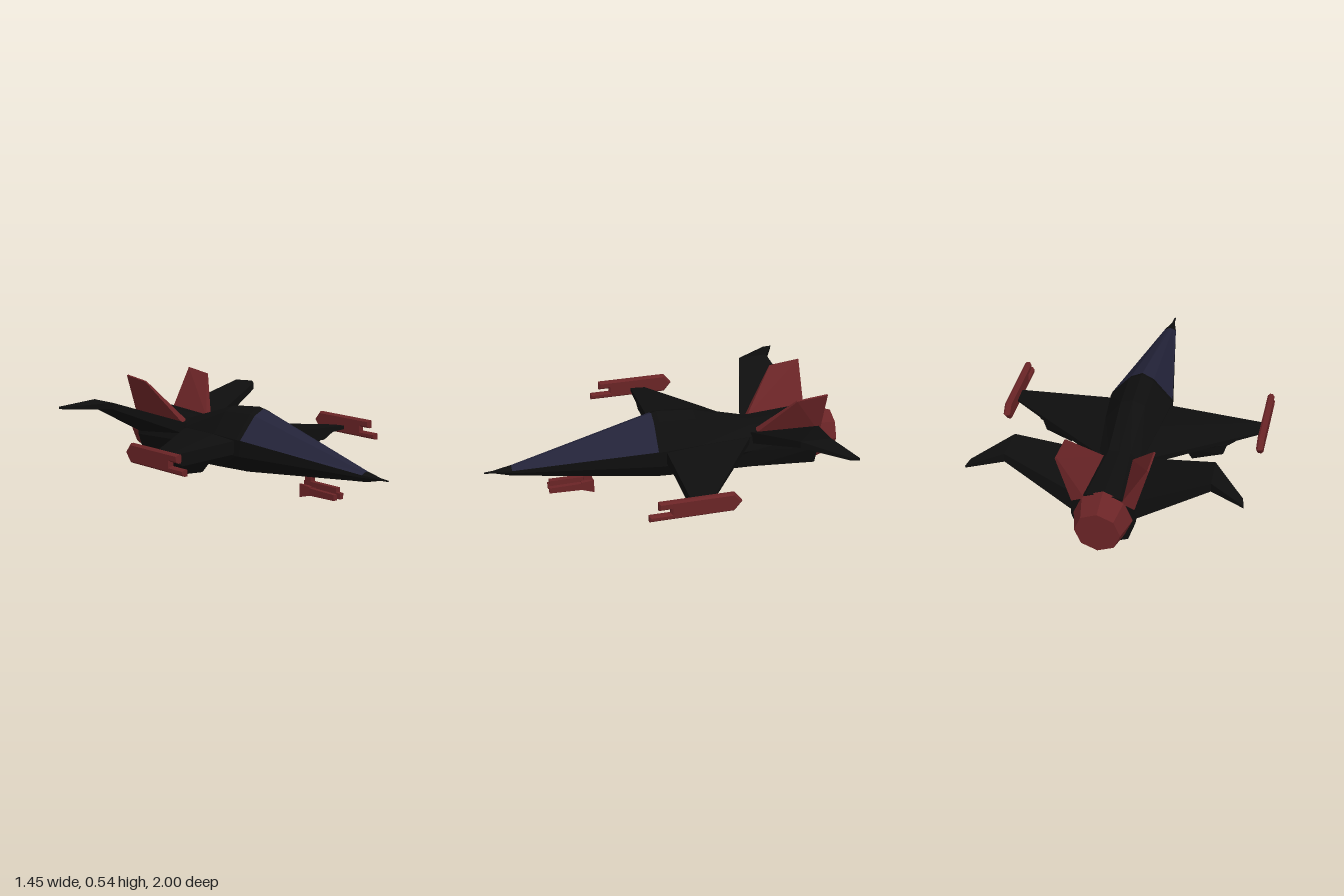
import * as THREE from 'three';
import { ConvexGeometry } from 'three/addons/geometries/ConvexGeometry.js';

const mat = (name, color) => {
  const m = new THREE.MeshStandardMaterial({ color, flatShading: true });
  m.name = name;
  return m;
};

export function createModel() {
  const black = mat('hull black', 0x0e0e0e);
  const red = mat('dark red', 0x6a2426);
  const navy = mat('canopy navy', 0x232339);
  const model = new THREE.Group();

  const add = (name, geometry, material) => {
    const mesh = new THREE.Mesh(geometry, material);
    mesh.name = name;
    model.add(mesh);
    return mesh;
  };
  // Convex solid through corner points; s = -1 mirrors it to the other side
  const solid = (name, pts, material, s = 1) =>
    add(name, new ConvexGeometry(pts.map(([x, y, z]) => new THREE.Vector3(x * s, y, z))), material);

  // Hull: half sections [z, top, shoulder, side, belt, chine, keel]
  const sections = [
    [1.0, [0, 0.197], [0.003, 0.196], [0.005, 0.193], [0.005, 0.192], [0.003, 0.19], [0, 0.189]],
    [0.95, [0, 0.2], [0.004, 0.199], [0.007, 0.195], [0.007, 0.192], [0.005, 0.188], [0, 0.187]],
    [0.85, [0, 0.217], [0.015, 0.214], [0.034, 0.203], [0.034, 0.19], [0.022, 0.168], [0, 0.162]],
    [0.06, [0, 0.437], [0.065, 0.405], [0.172, 0.28], [0.175, 0.19], [0.12, 0.1], [0, 0.082]],
    [0.03, [0, 0.445], [0.07, 0.412], [0.175, 0.28], [0.178, 0.19], [0.122, 0.1], [0, 0.08]],
    [-0.18, [0, 0.425], [0.068, 0.4], [0.155, 0.28], [0.165, 0.19], [0.122, 0.09], [0, 0.07]],
    [-0.5, [0, 0.325], [0.06, 0.318], [0.115, 0.27], [0.135, 0.19], [0.12, 0.08], [0, 0.055]],
    [-0.87, [0, 0.335], [0.09, 0.325], [0.165, 0.27], [0.17, 0.18], [0.13, 0.06], [0, 0.01]],
  ];
  const rings = sections.map(([z, ...half]) => [
    ...half,
    ...half.slice(1, -1).reverse().map(([x, y]) => [-x, y]),
  ].map(([x, y]) => new THREE.Vector3(x, y, z)));
  const n = rings[0].length;
  const hullTris = [], canopyTris = [];
  for (let i = 0; i < rings.length - 1; i++) {
    for (let j = 0; j < n; j++) {
      const k = (j + 1) % n;
      const [a, b, c, d] = [rings[i][j], rings[i][k], rings[i + 1][j], rings[i + 1][k]];
      const glass = i === 2 && (j < 2 || j >= n - 2);
      (glass ? canopyTris : hullTris).push(a, b, c, b, d, c);
    }
  }
  const [nose, stern] = [rings[0], rings[rings.length - 1]];
  for (let j = 1; j < n - 1; j++) {
    hullTris.push(nose[0], nose[j + 1], nose[j], stern[0], stern[j], stern[j + 1]);
  }
  const toGeometry = (pts) => {
    const g = new THREE.BufferGeometry().setFromPoints(pts);
    g.computeVertexNormals();
    return g;
  };
  add('hull', toGeometry(hullTris), black);
  add('canopy', toGeometry(canopyTris), navy);

  // Engine nozzle
  const nozzle = add('engineNozzle', new THREE.CylinderGeometry(0.158, 0.12, 0.14, 8), red);
  nozzle.rotation.x = Math.PI / 2;
  nozzle.position.set(0, 0.193, -0.93);

  // Wingtip pod side profile in (z, y), with the slot in its front end
  const podShape = new THREE.Shape([
    [0.255, 0.197], [0.255, 0.232], [0.14, 0.232], [0.14, 0.257], [0.205, 0.257],
    [0.205, 0.302], [-0.2, 0.302], [-0.243, 0.25], [-0.2, 0.197],
  ].map(([z, y]) => new THREE.Vector2(-z, y)));

  for (const s of [1, -1]) {
    const side = s > 0 ? 'left' : 'right';

    // Delta main wing
    solid(side + 'MainWing', [
      [0.12, 0.275, 0.015], [0.12, 0.2, 0.015], [0.12, 0.28, -0.2], [0.12, 0.195, -0.2],
      [0.09, 0.27, -0.5], [0.09, 0.23, -0.5],
      [0.7, 0.245, 0.01], [0.7, 0.225, 0.01], [0.7, 0.24, -0.07], [0.7, 0.228, -0.07],
    ], black, s);

    // Tapered fairing below the wing
    solid(side + 'WingFairing', [
      [0.14, 0.24, 0.005], [0.14, 0.195, 0.005], [0.62, 0.23, 0.005], [0.53, 0.182, 0.005],
      [0.14, 0.2, -0.36], [0.53, 0.19, -0.16], [0.62, 0.23, -0.1], [0.14, 0.24, -0.38],
    ], black, s);
    solid(side + 'UnderwingBlock', [
      [0.31, 0.2, 0], [0.525, 0.2, 0], [0.525, 0.2, -0.16], [0.31, 0.2, -0.26],
      [0.34, 0.11, -0.06], [0.502, 0.122, -0.05], [0.502, 0.122, -0.16], [0.34, 0.11, -0.22],
    ], black, s);

    // Cranked rear wing: inner panel rising outward, then the swept tip
    const crank = [[0.53, 0.443, -0.62], [0.53, 0.405, -0.62], [0.537, 0.443, -0.79], [0.537, 0.392, -0.79]];
    solid(side + 'RearWing', [
      [0.1, 0.29, -0.49], [0.1, 0.22, -0.49], [0.13, 0.305, -0.87], [0.13, 0.18, -0.87], ...crank,
    ], black, s);
    solid(side + 'RearWingTip', [
      ...crank, [0.705, 0.412, -0.83], [0.705, 0.396, -0.83], [0.717, 0.408, -0.883], [0.717, 0.395, -0.883],
    ], black, s);

    // Canted tail fin
    solid(side + 'TailFin', [
      [0.075, 0.3, -0.525], [0.11, 0.29, -0.525], [0.095, 0.3, -0.875], [0.165, 0.27, -0.875],
      [0.228, 0.525, -0.705], [0.237, 0.522, -0.705], [0.23, 0.543, -0.88], [0.24, 0.54, -0.88],
    ], red, s);

    // Wingtip pod
    const pod = add(side + 'WingtipPod', new THREE.ExtrudeGeometry(podShape, {
      depth: 0.017, bevelThickness: 0.01, bevelSize: 0.009, bevelOffset: -0.009, bevelSegments: 1,
    }), red);
    pod.rotation.y = Math.PI / 2;
    pod.position.x = s * 0.707 - 0.0085;

    // Lower gun barrels with flared rear ends
    solid(side + 'GunBarrel', [
      [0.012, 0.03, 0.65], [0.036, 0.03, 0.65], [0.012, 0.062, 0.65], [0.036, 0.062, 0.65],
      [0.012, 0.025, 0.47], [0.036, 0.025, 0.47], [0.012, 0.065, 0.47], [0.036, 0.065, 0.47],
    ], red, s);
    solid(side + 'GunFlare', [
      [0, 0.025, 0.47], [0.036, 0.025, 0.47], [0, 0.07, 0.47], [0.036, 0.07, 0.47],
      [0, 0.022, 0.4], [0.046, 0.006, 0.4], [0, 0.07, 0.4], [0.046, 0.083, 0.4],
    ], red, s);
  }

  // Upper gun barrel and the strut holding the gun to the hull
  const box = (name, w, h, d, y, z) =>
    add(name, new THREE.BoxGeometry(w, h, d), red).position.set(0, y, z);
  box('upperGunBarrel', 0.03, 0.025, 0.24, 0.083, 0.525);
  box('gunStrut', 0.034, 0.08, 0.04, 0.085, 0.435);

  return model;
}
